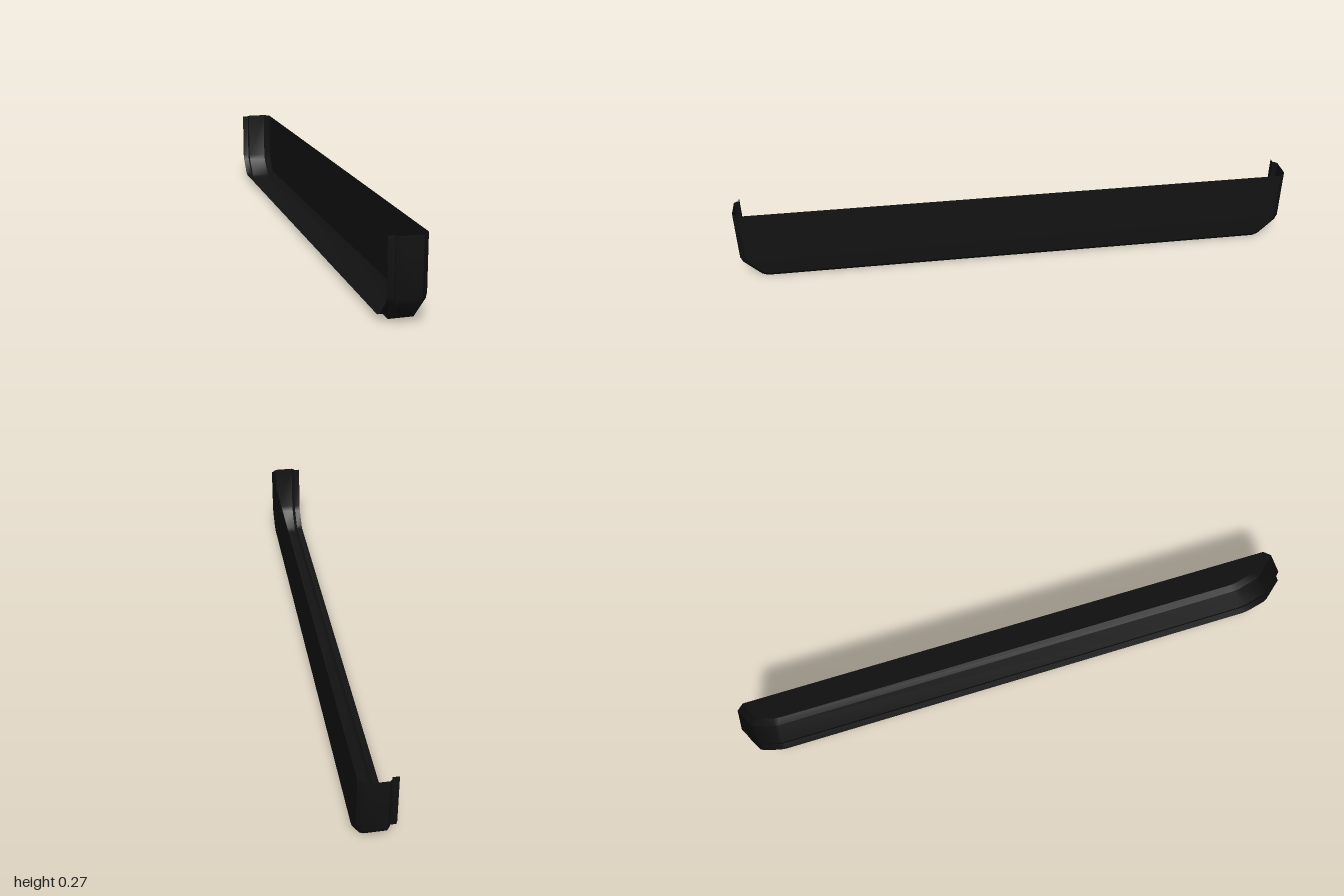
import * as THREE from 'three';
import { toCreasedNormals } from 'three/addons/utils/BufferGeometryUtils.js';

const TOP = 0.272;

// U-shaped outline as [z, y] points, moved inward by d, from the +z top to the -z top
function outline(d) {
  const m = 0.414 * d, c = 0.012;
  const half = [
    [1 - d, TOP],
    [1 - d, 0.075 + m + c],
    [1 - d - c * 0.7, 0.075 + m - c * 0.7],
    [0.925 - m + c * 0.7, d + c * 0.7],
    [0.925 - m - c, d],
  ];
  return [...half, ...half.map(([z, y]) => [-z, y]).reverse()];
}

// Skin lofted through sections given as [x, inset]
function sweep(sections) {
  const n = sections.length, pos = [], index = [];
  const rings = sections.map(([, d]) => outline(d));
  const count = rings[0].length;
  for (let i = 0; i < count; i++) {
    sections.forEach(([x], j) => pos.push(x, rings[j][i][1], rings[j][i][0]));
  }
  for (let i = 0; i < count - 1; i++) {
    for (let j = 0; j < n - 1; j++) {
      const a = i * n + j, b = a + n;
      index.push(a, a + 1, b, a + 1, b + 1, b);
    }
  }
  const geo = new THREE.BufferGeometry();
  geo.setAttribute('position', new THREE.Float32BufferAttribute(pos, 3));
  geo.setIndex(index);
  return toCreasedNormals(geo, 0.6);
}

export function createModel() {
  const group = new THREE.Group();
  const material = new THREE.MeshStandardMaterial({ color: 0x121212, side: THREE.DoubleSide });
  const add = (name, geo) => {
    const mesh = new THREE.Mesh(geo, material);
    mesh.name = name;
    group.add(mesh);
  };

  // Flat outer wall
  const shape = new THREE.Shape(outline(0.022).map(([z, y]) => new THREE.Vector2(z, y)));
  add('sidePanel', new THREE.ShapeGeometry(shape).rotateY(Math.PI / 2).translate(0.061, 0, 0));

  // Bevelled rim around the ends and bottom; top and inner side stay open
  add('rim', sweep([[0.061, 0.022], [0.04, 0], [-0.03, 0], [-0.039, 0.009], [-0.039, 0.015]]));

  // Recessed lip that continues the rim inward
  add('lip', sweep([[-0.039, 0.015], [-0.061, 0.015]]));

  return group;
}
